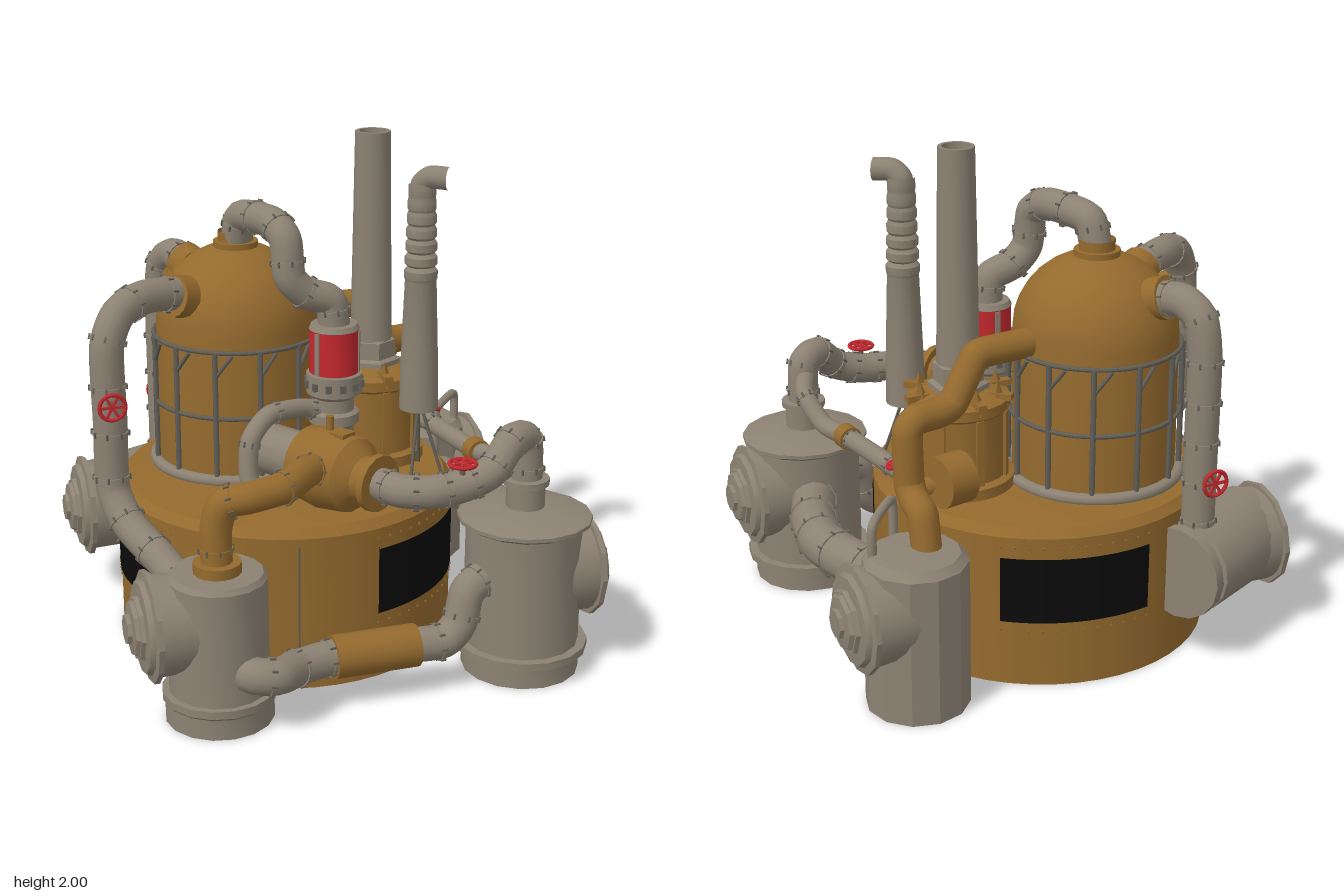
import * as THREE from 'three';
import { toCreasedNormals } from 'three/addons/utils/BufferGeometryUtils.js';

const paint = (name, color, opts = {}) => Object.assign(new THREE.MeshStandardMaterial({ color, ...opts }), { name });
const V = (p) => new THREE.Vector3(...p);
const UP = new THREE.Vector3(0, 1, 0);

export function createModel() {
  const brass = paint('brass', 0x946a2e, { side: THREE.DoubleSide });
  const grey = paint('grey metal', 0x8c8273);
  const steel = paint('dark steel', 0x625f58);
  const red = paint('red', 0xc4282d);
  const black = paint('black glass', 0x0b0b0b, { side: THREE.DoubleSide });
  const root = new THREE.Group();

  const add = (name, geo, mat, pos = [0, 0, 0], dir) => {
    const m = new THREE.Mesh(geo, mat);
    m.name = name;
    m.position.set(...pos);
    if (dir) m.quaternion.setFromUnitVectors(UP, V(dir).normalize());
    root.add(m);
    return m;
  };
  // Turned part: profile is [radius, height] from bottom to top
  const turned = (name, profile, mat, pos, dir, sides = 24) =>
    add(name, toCreasedNormals(new THREE.LatheGeometry(profile.map((p) => new THREE.Vector2(...p)), sides), 0.5), mat, pos, dir);
  const cyl = (name, r, h, mat, pos, dir, sides = 16) =>
    add(name, new THREE.CylinderGeometry(r, r, h, sides), mat, pos, dir);
  const rod = (name, a, b, r, mat, sides = 6) => {
    const A = V(a), B = V(b), d = B.clone().sub(A);
    return cyl(name, r, d.length(), mat, A.add(B).multiplyScalar(0.5).toArray(), d.toArray(), sides);
  };
  // Bolted joint: a thin band with small studs around it
  const joint = (p, dir, r, mat) => {
    const band = cyl('jointBand', r * 1.08, 0.012, mat, p, dir, 14);
    for (let i = 0; i < 8; i++) {
      const a = (i * Math.PI) / 4;
      const stud = new THREE.Mesh(new THREE.BoxGeometry(0.007, 0.022, 0.007), steel);
      stud.name = 'stud';
      stud.position.set(Math.cos(a) * r * 1.08, 0, Math.sin(a) * r * 1.08);
      band.add(stud);
    }
  };
  // Bent pipe through points, with evenly spaced joints
  const pipe = (name, pts, r, mat, joints = 0, tension = 0.35) => {
    const c = new THREE.CatmullRomCurve3(pts.map(V), false, 'catmullrom', tension);
    add(name, new THREE.TubeGeometry(c, pts.length * 8, r, 14), mat);
    for (let i = 0; i < joints; i++) {
      const t = (i + 0.5) / joints;
      joint(c.getPointAt(t).toArray(), c.getTangentAt(t).toArray(), r, mat);
    }
  };
  const handWheel = (pos, dir, r) => {
    const g = new THREE.Group();
    g.name = 'valveWheel';
    const part = (geo, mat) => { const m = new THREE.Mesh(geo, mat); g.add(m); return m; };
    part(new THREE.TorusGeometry(r, 0.008, 6, 18), red).rotation.x = Math.PI / 2;
    for (let i = 0; i < 3; i++) part(new THREE.BoxGeometry(2 * r, 0.008, 0.01), red).rotation.y = (i * Math.PI) / 3;
    part(new THREE.CylinderGeometry(0.012, 0.012, 0.1, 8), steel).position.y = -0.05;
    g.position.set(...pos);
    g.quaternion.setFromUnitVectors(UP, V(dir).normalize());
    root.add(g);
  };
  // Barrel with a round flange and stepped octagonal boss
  const endCap = (pos, dir) => {
    turned('capBarrel', [[0.18, 0], [0.19, 0.27]], grey, pos, dir);
    turned('capFlange', [[0.17, 0.25], [0.21, 0.25], [0.21, 0.27], [0.18, 0.275], [0.17, 0.295], [0, 0.31]], grey, pos, dir, 12);
    turned('capBoss', [[0.13, 0.29], [0.12, 0.315], [0.11, 0.315], [0.1, 0.33], [0.06, 0.335], [0.055, 0.35], [0, 0.35]], grey, pos, dir, 8);
  };

  // Main drum with a flat floor
  const cx = -0.135, cz = -0.1, R = 0.675;
  turned('mainDrum', [[0, 0], [R, 0], [R, 0.62], [R - 0.03, 0.655], [0, 0.66]], brass, [cx, 0, cz], null, 48);
  add('drumSeam', new THREE.BoxGeometry(0.006, 0.58, 0.006), steel, [-0.28, 0.3, cz + 0.66]);
  for (const deg of [40, 165, 278]) {
    const mid = (deg * Math.PI) / 180, w = 0.88;
    const arc = (r, h, m, n, width, y) => add(n, new THREE.CylinderGeometry(r, r, h, 16, 1, true, mid - width / 2, width), m, [cx, y, cz]);
    arc(R + 0.005, 0.28, black, 'window', w, 0.405);
    for (const y of [0.265, 0.545]) arc(R + 0.008, 0.012, brass, 'windowFrame', w, y);
    for (let i = 0; i < 12; i++) for (const y of [0.23, 0.58]) {
      const a = mid + w * (i / 11 - 0.5);
      add('rivet', new THREE.BoxGeometry(0.008, 0.008, 0.008), brass, [cx + Math.sin(a) * R, y, cz + Math.cos(a) * R]);
    }
  }

  // Domed boiler with its cage
  const bx = -0.28, bz = -0.28, br = 0.325;
  const dome = [[br, 0.65], [br, 1.25]];
  for (let i = 1; i <= 8; i++) {
    const a = (i * Math.PI) / 16;
    dome.push([br * Math.cos(a), 1.25 + 0.31 * Math.sin(a)]);
  }
  turned('boiler', dome, brass, [bx, 0, bz], null, 32);
  turned('boilerCrown', [[0.09, 1.53], [0.09, 1.57], [0.07, 1.57], [0.07, 1.61]], brass, [bx, 0, bz]);
  for (const y of [0.93, 1.2]) add('cageRing', new THREE.TorusGeometry(br + 0.012, 0.009, 6, 36), steel, [bx, y, bz]).rotation.x = Math.PI / 2;
  add('boilerFoot', new THREE.TorusGeometry(br + 0.015, 0.025, 8, 36), grey, [bx, 0.67, bz]).rotation.x = Math.PI / 2;
  const cage = (a, y) => [bx + Math.sin(a) * (br + 0.015), y, bz + Math.cos(a) * (br + 0.015)];
  for (let i = 0; i < 12; i++) {
    const a = (i * Math.PI) / 6;
    rod('cageBar', cage(a, 0.66), cage(a, 1.2), 0.011, steel);
    rod('cageBrace', cage(a, 1.1), cage(a + 0.2, 1.19), 0.008, steel);
  }
  for (const [x, y, z, r, d] of [[-0.55, 1.4, -0.13, 0.085, [-0.85, 0.25, 0.45]], [-0.42, 1.42, -0.52, 0.085, [-0.4, 0.3, -0.85]], [-0.54, 1.4, -0.34, 0.05, [-1, 0.5, -0.2]]])
    cyl('boilerPort', r, 0.07, brass, [x, y, z], d);

  // Feed pipe from the crown into the red canister
  pipe('crownPipe', [[-0.28, 1.57, -0.27], [-0.27, 1.67, -0.24], [-0.24, 1.69, -0.15], [-0.2, 1.69, -0.02], [-0.175, 1.64, 0.06], [-0.165, 1.5, 0.08],
    [-0.1, 1.43, 0.08], [0, 1.39, 0.08], [0.015, 1.28, 0.08]], 0.063, grey, 6);
  const canister = [0.015, 0, 0.08];
  turned('canisterColumn', [[0.1, 0.65], [0.1, 0.74], [0.075, 0.75], [0.075, 0.88], [0.1, 0.9], [0.1, 0.94], [0.08, 0.95], [0.08, 1.0],
    [0.11, 1.02], [0.11, 1.1], [0.088, 1.1], [0.088, 1.27], [0.1, 1.28], [0.09, 1.3], [0, 1.3]], grey, canister);
  turned('canisterShell', [[0.098, 1.105], [0.098, 1.28]], red, canister);
  for (let i = 0; i < 12; i++) {
    const a = (i * Math.PI) / 6, s = Math.sin(a), c = Math.cos(a);
    add('canisterStud', new THREE.BoxGeometry(0.022, 0.03, 0.022), steel, [0.015 + s * 0.108, 1.06, 0.08 + c * 0.108]);
    if (i % 4 === 2) add('canisterStrip', new THREE.BoxGeometry(0.02, 0.17, 0.02), grey, [0.015 + s * 0.092, 1.19, 0.08 + c * 0.092]).rotation.y = a;
  }

  // Furnace with leaf-shaped fins around the tall chimney
  const f = [0.25, 0, -0.15];
  turned('furnace', [[0.22, 0.65], [0.22, 0.7], [0.19, 0.71], [0.19, 0.97], [0.2, 0.98], [0.2, 1.02], [0.12, 1.05], [0, 1.05]], brass, f);
  for (let i = 0; i < 8; i++) {
    const a = (i * Math.PI) / 4, s = Math.sin(a), c = Math.cos(a);
    add('furnaceRib', new THREE.BoxGeometry(0.03, 0.27, 0.02), brass, [f[0] + s * 0.19, 0.84, f[2] + c * 0.19]).rotation.y = a;
    add('furnaceFin', new THREE.ConeGeometry(0.045, 0.1, 4), brass, [f[0] + s * 0.16, 1.045, f[2] + c * 0.16]).rotation.y = a;
    add('furnaceSpoke', new THREE.BoxGeometry(0.035, 0.025, 0.13), brass, [f[0] + s * 0.155, 1.035, f[2] + c * 0.155]).rotation.y = a;
  }
  turned('chimneyCollar', [[0.12, 1.03], [0.12, 1.07], [0.1, 1.08], [0.1, 1.15], [0.08, 1.16]], grey, f, null, 6);
  turned('chimney', [[0.085, 1.1], [0.07, 2], [0.055, 2], [0.055, 1.9], [0, 1.9]], grey, f, null, 16);

  // Slim stack with corrugated top and bent spout
  const stack = [[0, 0.92], [0.078, 0.92], [0.075, 1.1], [0.062, 1.45]];
  for (let i = 0; i < 7; i++) stack.push([0.066 - i * 0.002, 1.46 + i * 0.055], [0.066 - i * 0.002, 1.49 + i * 0.055], [0.052, 1.505 + i * 0.055]);
  turned('slimStack', stack, grey, [0.365, 0, 0.1], null, 16);
  pipe('stackSpout', [[0.365, 1.78, 0.1], [0.365, 1.83, 0.1], [0.39, 1.86, 0.13], [0.445, 1.86, 0.175]], 0.045, grey);
  for (const [x, z] of [[0.29, 0.22], [0.44, 0.18], [0.4, 0.02]]) rod('stackLeg', [0.365, 0.96, 0.1], [x, 0.65, z], 0.007, steel);

  // Corner tanks
  turned('frontRightTank', [[0, 0], [0.205, 0], [0.205, 0.08], [0.215, 0.09], [0.215, 0.12], [0.19, 0.12], [0.185, 0.56], [0.17, 0.58], [0, 0.58]], grey, [-0.62, 0, 0.65], null, 16);
  endCap([-0.61, 0.38, 0.615], [-1, 0, 0]);
  turned('frontLeftTank', [[0, 0], [0.23, 0], [0.23, 0.09], [0.26, 0.09], [0.26, 0.12], [0.225, 0.12], [0.225, 0.6], [0.26, 0.62], [0.26, 0.635], [0.12, 0.67],
    [0.075, 0.67], [0.075, 0.76], [0.09, 0.76], [0.09, 0.785], [0, 0.79]], grey, [0.61, 0, 0.615], null, 16);
  endCap([0.605, 0.4, 0.61], [1, 0, 0]);
  turned('backLeftTank', [[0, 0], [0.2, 0], [0.2, 0.59], [0.17, 0.62], [0, 0.63]], grey, [0.63, 0, -0.58], null, 12);
  endCap([0.605, 0.4, -0.58], [1, 0, 0]);
  endCap([-0.61, 0.38, -0.605], [-1, 0, 0]);
  const slope = [0.42, 0, -0.19];
  turned('backRightTank', [[0, 0], [0.187, 0], [0.187, 0.42], [0.17, 0.425], [0.17, 0.44], [0.187, 0.445], [0.187, 0.49], [0, 0.49]], grey, [-0.82, 0.39, -0.58], slope, 16);

  // Tall pipes from the boiler to the side tanks
  pipe('sidePipe', [[-0.53, 1.41, -0.14], [-0.7, 1.43, -0.06], [-0.82, 1.4, 0.02], [-0.88, 1.28, 0.06], [-0.88, 1, 0.07], [-0.88, 0.72, 0.08], [-0.84, 0.6, 0.18],
    [-0.76, 0.52, 0.36], [-0.7, 0.45, 0.55]], 0.066, grey, 9);
  handWheel([-0.89, 1.08, 0.18], [0, 0, 1], 0.05);
  pipe('backPipe', [[-0.41, 1.42, -0.5], [-0.45, 1.44, -0.63], [-0.48, 1.39, -0.71], [-0.49, 1.25, -0.735], [-0.49, 0.9, -0.735], [-0.49, 0.5, -0.735]], 0.066, grey, 7);
  handWheel([-0.48, 0.78, -0.86], [0, 0, -1], 0.05);

  // Heavy pipe between the two left-hand tanks
  pipe('heavyPipe', [[0.64, 0.41, -0.5], [0.67, 0.41, -0.32], [0.74, 0.41, -0.1], [0.76, 0.41, 0.05], [0.72, 0.41, 0.25], [0.62, 0.41, 0.5]], 0.09, grey, 6);

  // Front cross pipe with sleeve
  pipe('crossPipe', [[-0.6, 0.23, 0.68], [-0.54, 0.23, 0.82], [-0.45, 0.22, 0.84], [-0.35, 0.2, 0.76], [-0.2, 0.2, 0.72], [0.1, 0.2, 0.72], [0.24, 0.2, 0.72],
    [0.31, 0.26, 0.71], [0.35, 0.38, 0.69], [0.46, 0.42, 0.65]], 0.068, grey, 9);
  cyl('sleeve', 0.083, 0.33, brass, [-0.035, 0.2, 0.72], [1, 0, 0]);

  // Brass pot and its pipework
  const axis = [0.5, 0, 0.86];
  turned('pot', [[0, 0], [0.11, 0], [0.145, 0.03], [0.16, 0.14], [0.145, 0.26], [0.09, 0.31], [0.08, 0.36], [0.11, 0.36], [0.11, 0.39], [0, 0.39]], brass, [-0.17, 0.82, 0.26], axis, 16);
  cyl('potNub', 0.015, 0.08, brass, [-0.1, 0.99, 0.38]);
  add('potHatch', new THREE.BoxGeometry(0.07, 0.03, 0.07), brass, [-0.07, 0.965, 0.43]).rotation.y = 0.53;
  rod('potBackPipe', [-0.15, 0.82, 0.29], [-0.26, 0.82, 0.1], 0.1, grey, 14);
  pipe('potLoop', [[-0.3, 0.68, 0.32], [-0.38, 0.75, 0.25], [-0.37, 0.9, 0.22], [-0.28, 0.98, 0.17], [-0.12, 0.97, 0.1], [0, 0.93, 0.08]], 0.038, grey, 4);
  pipe('brassPipe', [[-0.62, 0.56, 0.65], [-0.62, 0.74, 0.64], [-0.59, 0.84, 0.65], [-0.5, 0.86, 0.67], [-0.36, 0.87, 0.64], [-0.25, 0.87, 0.53], [-0.15, 0.85, 0.42]], 0.06, brass, 4);
  cyl('brassPipeCollar', 0.09, 0.04, brass, [-0.62, 0.6, 0.65]);
  pipe('frontPipe', [[0.02, 0.82, 0.59], [0.08, 0.82, 0.69], [0.18, 0.82, 0.73], [0.3, 0.83, 0.73], [0.42, 0.87, 0.72], [0.52, 0.96, 0.67], [0.6, 0.94, 0.62], [0.61, 0.77, 0.615]], 0.063, grey, 8);
  handWheel([0.29, 0.925, 0.75], [0, 1, 0], 0.05);

  // Service pipe along the left side, ending in a brass elbow and drum
  pipe('servicePipe', [[0.6, 0.9, 0.6], [0.65, 0.86, 0.48], [0.62, 0.77, 0.35], [0.57, 0.755, 0.22], [0.53, 0.755, -0.05], [0.5, 0.755, -0.27]], 0.038, grey, 3);
  pipe('serviceElbow', [[0.5, 0.755, -0.25], [0.48, 0.76, -0.35], [0.43, 0.81, -0.44]], 0.045, brass);
  for (const [x, z] of [[0.57, 0.22], [0.5, -0.25]]) cyl('serviceCollar', 0.05, 0.06, brass, [x, 0.755, z], [-0.1, 0, -1]);
  handWheel([0.55, 0.8, -0.2], [0.4, 1, 0], 0.025);
  cyl('serviceDrum', 0.1, 0.12, brass, [0.42, 0.81, -0.44], [1, 0, -0.2]);

  // Stepped brass pipe from boiler to back tank
  pipe('steppedPipe', [[-0.02, 1.25, -0.31], [0.2, 1.25, -0.33], [0.27, 1.24, -0.34], [0.37, 1.08, -0.36], [0.44, 1.06, -0.38], [0.54, 1.06, -0.4], [0.58, 1.02, -0.41],
    [0.58, 0.82, -0.42], [0.58, 0.77, -0.46], [0.58, 0.74, -0.54], [0.58, 0.6, -0.57]], 0.058, brass, 0, 0.2);
  // Thin drain pipe
  pipe('drainPipe', [[0.78, 0.58, -0.53], [0.78, 0.71, -0.53], [0.76, 0.74, -0.51], [0.65, 0.74, -0.38], [0.62, 0.71, -0.35], [0.62, 0.4, -0.35], [0.62, 0.04, -0.35]], 0.018, grey);

  return root;
}
